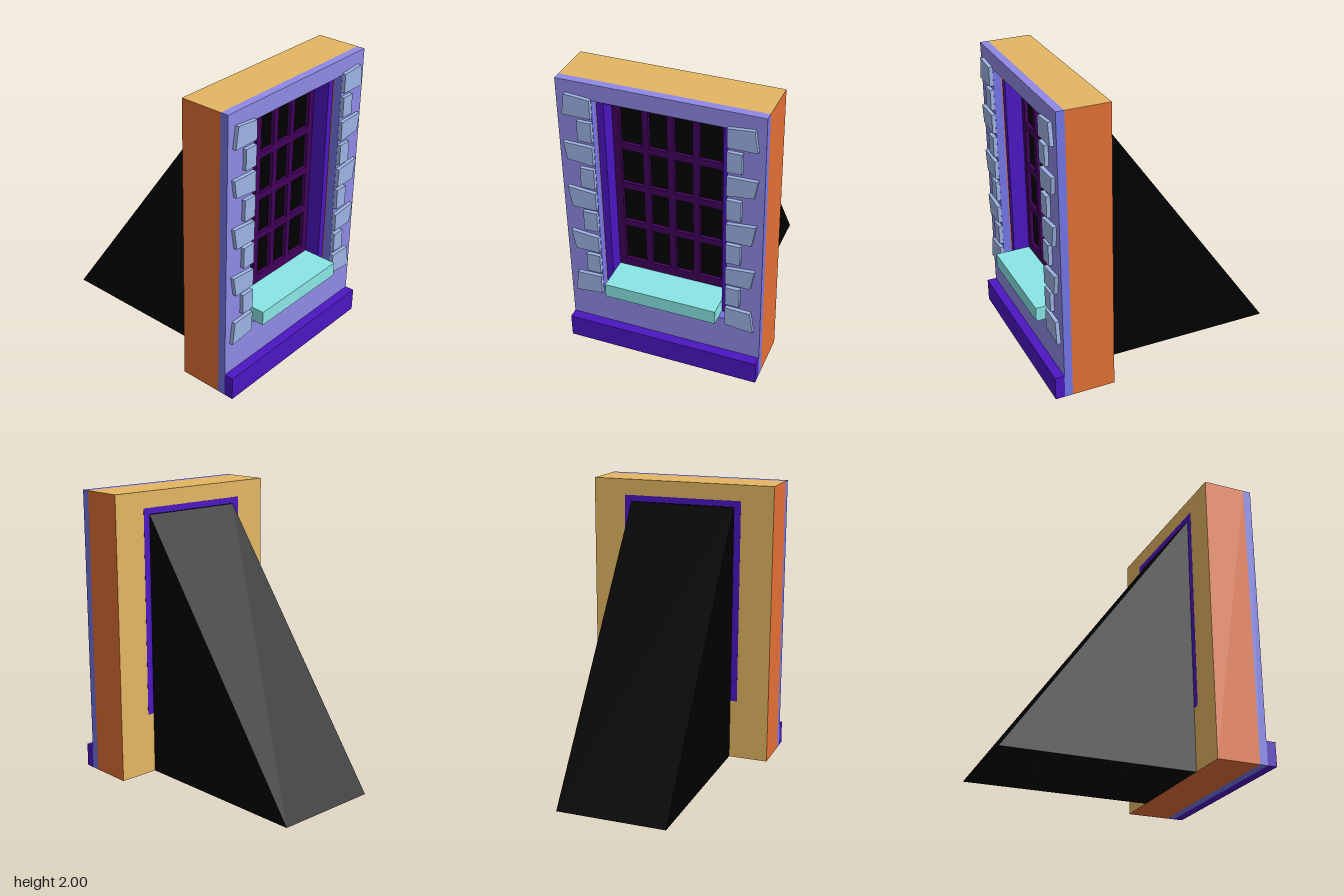
import * as THREE from 'three';

const mat = (name, color) => Object.assign(new THREE.MeshStandardMaterial({ color }), { name });

export function createModel() {
  const orange = mat('orangeSide', 0xe36f34);
  const tan = mat('tanWall', 0xe4b662);
  const lavender = mat('lavenderPlaster', 0x8f8ae6);
  const blue = mat('bluePlasterEdge', 0x7678ea);
  const purple = mat('purpleTrim', 0x4c16c2);
  const plum = mat('plumBars', 0x42005c);
  const teal = mat('tealSill', 0x8ae6e6);
  const stone = mat('blueStone', 0x9db3e4);
  const black = mat('blackShaft', 0x000000);

  const group = new THREE.Group();
  const add = (name, geometry, material, parent = group) => {
    const mesh = new THREE.Mesh(geometry, material);
    mesh.name = name;
    parent.add(mesh);
    return mesh;
  };

  // Box given by its limits on each axis
  const box = (x0, x1, y0, y1, z0, z1) =>
    new THREE.BoxGeometry(x1 - x0, y1 - y0, z1 - z0)
      .translate((x0 + x1) / 2, (y0 + y1) / 2, (z0 + z1) / 2);

  // Outline drawn as (-z, y) points and extruded along x
  const slab = (points, holes, x0, x1) => {
    const toVec = (list) => list.map(([u, y]) => new THREE.Vector2(u, y));
    const shape = new THREE.Shape(toVec(points));
    holes.forEach((h) => shape.holes.push(new THREE.Path(toVec(h))));
    return new THREE.ExtrudeGeometry(shape, { depth: x1 - x0, bevelEnabled: false })
      .rotateY(Math.PI / 2).translate(x0, 0, 0);
  };
  const rect = (u0, u1, y0, y1) => [[u0, y0], [u1, y0], [u1, y1], [u0, y1]];

  // Wall with window opening, plaster facing and plinth
  const W = 0.667;
  const opening = rect(-0.433, 0.433, 0.433, 1.887);
  add('wall', slab(rect(-W, W, 0, 1.999), [opening], 0.44, 0.737), [tan, orange]);
  add('wallTop', box(0.44, 0.737, 1.999, 2, -W, W), tan);
  add('facing', slab(rect(-W, W, 0, 1.999), [opening], 0.737, 0.792), [lavender, blue]);
  add('facingTop', box(0.737, 0.792, 1.999, 2, -W, W), lavender);
  add('plinth', box(0.792, 0.857, 0, 0.163, -W, W), purple);

  // Window frame, bars, dark panes and sill
  add('windowFrame', slab(opening, [rect(-0.385, 0.385, 0.44, 1.843)], 0.439, 0.73), purple);
  const columns = [[-0.338, -0.188], [-0.146, -0.022], [0.022, 0.146], [0.188, 0.338]];
  const rows = [[0.594, 0.868], [0.912, 1.163], [1.212, 1.463], [1.51, 1.783]];
  const panes = rows.flatMap(([y0, y1]) => columns.map(([u0, u1]) => rect(u0, u1, y0, y1)));
  add('windowBars', slab(rect(-0.385, 0.385, 0.44, 1.843), panes, 0.595, 0.62), plum);
  add('windowHead', box(0.62, 0.72, 1.838, 1.843, -0.385, 0.385), plum);
  add('windowPanes', box(0.44, 0.592, 0.44, 1.84, -0.384, 0.384), black);
  add('sill', box(0.6, 0.865, 0.436, 0.535, -0.385, 0.385), teal);

  // Edge stones beside the window: inner edge low/high, then outer low/high as [width, y]
  const stones = [
    [1.77, 1.90, 0.625, 1.77, 0.603, 1.915],
    [1.60, 1.74, 0.53, 1.60, 0.53, 1.74],
    [1.43, 1.565, 0.61, 1.45, 0.63, 1.57],
    [1.255, 1.40, 0.53, 1.255, 0.53, 1.40],
    [1.09, 1.22, 0.60, 1.09, 0.625, 1.237],
    [0.92, 1.065, 0.53, 0.92, 0.53, 1.065],
    [0.75, 0.873, 0.60, 0.75, 0.625, 0.89],
    [0.58, 0.72, 0.53, 0.58, 0.53, 0.72],
    [0.41, 0.55, 0.625, 0.39, 0.603, 0.545],
  ];
  for (const [side, name] of [[1, 'rightEdgeStones'], [-1, 'leftEdgeStones']]) {
    const stack = new THREE.Group();
    stack.name = name;
    group.add(stack);
    for (const [inLow, inHigh, wLow, yLow, wHigh, yHigh] of stones) {
      const outline = [[0.435, inLow], [wLow, yLow], [wHigh, yHigh], [0.435, inHigh]]
        .map(([u, y]) => [u * side, y]);
      add('edgeStone', slab(outline, [], 0.792, 0.818), stone, stack);
    }
  }

  // Wedge-shaped shaft sloping down behind the window
  const profile = new THREE.Shape([
    new THREE.Vector2(-0.865, 0), new THREE.Vector2(0.44, 0), new THREE.Vector2(0.44, 1.84),
  ]);
  add('shaft', new THREE.ExtrudeGeometry(profile, { depth: 0.766, bevelEnabled: false })
    .translate(0, 0, -0.383), black);

  // Faint window pattern on the underside of the shaft
  const floorX = (y) => 0.43 - y * 0.577;
  for (const [y0, y1] of rows) {
    for (const [z0, z1] of columns) {
      add('floorPane', box(floorX(y1), floorX(y0), -0.001, 0.001, z0, z1), black);
    }
  }
  return group;
}
